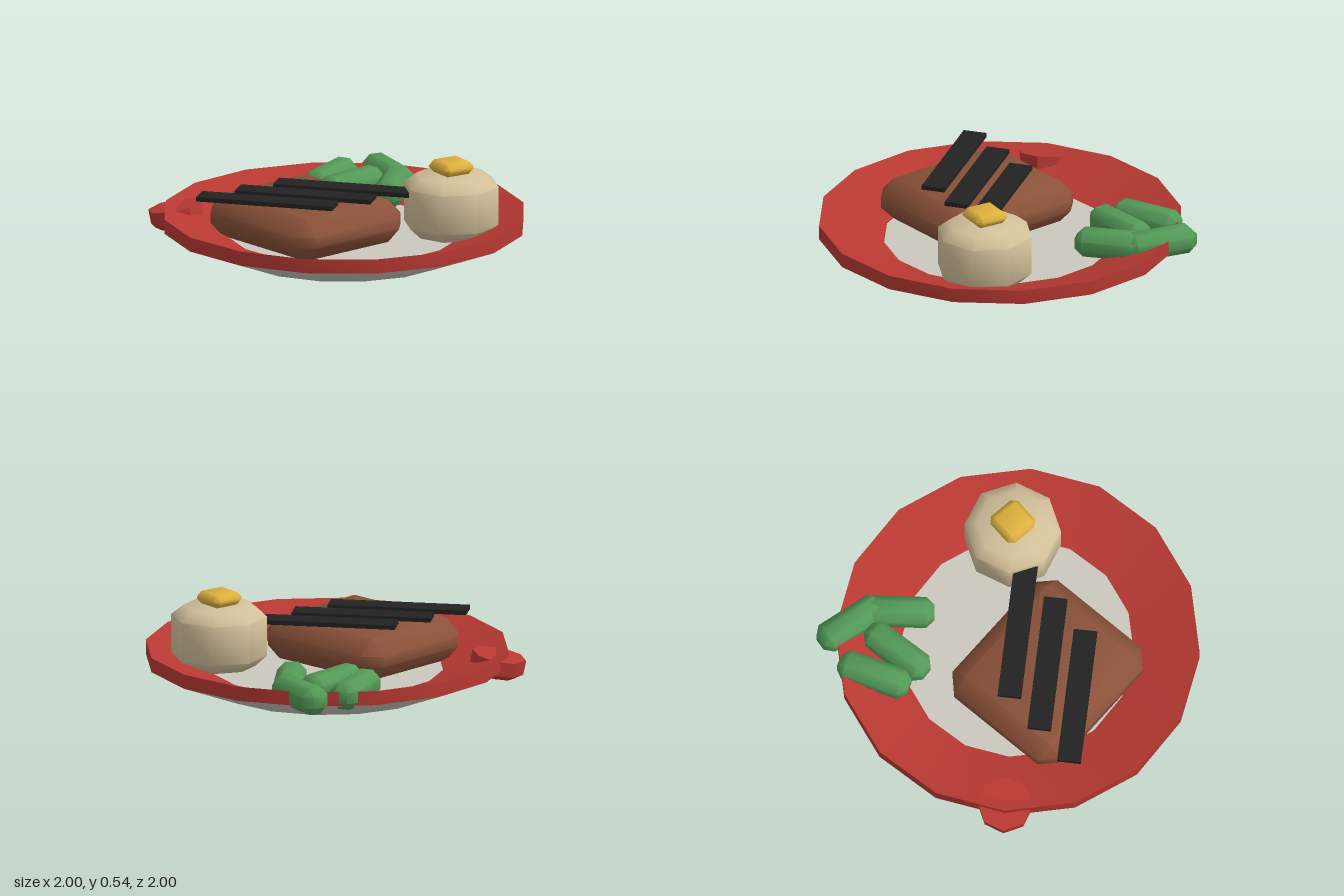
import * as THREE from 'three';
import { toCreasedNormals } from 'three/addons/utils/BufferGeometryUtils.js';
import { ConvexGeometry } from 'three/addons/geometries/ConvexGeometry.js';

const paint = (name, color) => {
  const m = new THREE.MeshStandardMaterial({ color });
  m.name = name;
  return m;
};

// Box with every edge cut by a single bevel, shaded softly
function bevelBox(w, h, d, b) {
  const pts = [];
  for (const sx of [-1, 1]) for (const sy of [-1, 1]) for (const sz of [-1, 1]) {
    const x = w / 2, y = h / 2, z = d / 2;
    pts.push(
      new THREE.Vector3(sx * x, sy * (y - b), sz * (z - b)),
      new THREE.Vector3(sx * (x - b), sy * y, sz * (z - b)),
      new THREE.Vector3(sx * (x - b), sy * (y - b), sz * z));
  }
  return toCreasedNormals(new ConvexGeometry(pts), 0.9);
}

// Turned shape from [radius, height] pairs
function turned(profile, sides, crease) {
  const pts = profile.map(([r, y]) => new THREE.Vector2(r, y));
  return toCreasedNormals(new THREE.LatheGeometry(pts, sides), crease);
}

export function createModel() {
  const red = paint('rim red', 0xb83932);
  const white = paint('plate grey white', 0xcac7be);
  const brown = paint('steak brown', 0x8b5239);
  const black = paint('char black', 0x222222);
  const green = paint('bean green', 0x549a58);
  const cream = paint('potato cream', 0xd3c09a);
  const yellow = paint('butter yellow', 0xe0b23e);

  const model = new THREE.Group();
  model.name = 'dinnerPlate';
  const add = (name, geometry, material, x = 0, y = 0, z = 0, turn = 0) => {
    const mesh = new THREE.Mesh(geometry, material);
    mesh.name = name;
    mesh.position.set(x, y, z);
    mesh.rotation.y = turn;
    model.add(mesh);
    return mesh;
  };

  // Plate: underside, sloping rim and floor
  add('plateUnderside', turned([[0, 0], [0.62, 0], [1, 0.15]], 16, 0.45), white);
  add('plateRim', turned([[1, 0.15], [1, 0.23], [0.64, 0.11]], 16, 0.45), red);
  add('plateFloor', turned([[0.64, 0.11], [0, 0.11]], 16, 0.45), white);

  // Steak with three char strips
  add('steak', bevelBox(0.78, 0.24, 0.87, 0.09), brown, -0.25, 0.23, 0, 0.15);
  [-0.5, -0.25, 0].forEach((x, i) =>
    add('charStrip' + (i + 1), new THREE.BoxGeometry(0.13, 0.025, 0.77), black, x, 0.362, 0, 0.74));

  // Potato and butter
  add('potato', turned([[0, 0.12], [0.2, 0.12], [0.265, 0.18], [0.265, 0.4],
    [0.195, 0.455], [0, 0.455]], 8, 0.9), cream, 0.465, 0, 0.365);
  add('butter', bevelBox(0.2, 0.07, 0.2, 0.03), yellow, 0.465, 0.5, 0.365);

  // Green beans: x, z, turn
  [[0.37, -0.72, 0.5], [0.39, -0.535, 0.19], [0.68, -0.62, 1.45], [0.565, -0.385, 0.83]]
    .forEach(([x, z, turn], i) =>
      add('greenBean' + (i + 1), bevelBox(0.41, 0.15, 0.16, 0.045), green, x, 0.195, z, turn));

  // Tomato slice wedged through the rim, its inner side raised
  const tomato = add('tomatoSlice', turned([[0, -0.055], [0.11, -0.055], [0.15, -0.025],
    [0.15, 0.055], [0, 0.055]], 8, 0.5), red, -0.665, 0.15, -0.665);
  tomato.rotation.set(-0.14, 0, 0.14);

  return model;
}
